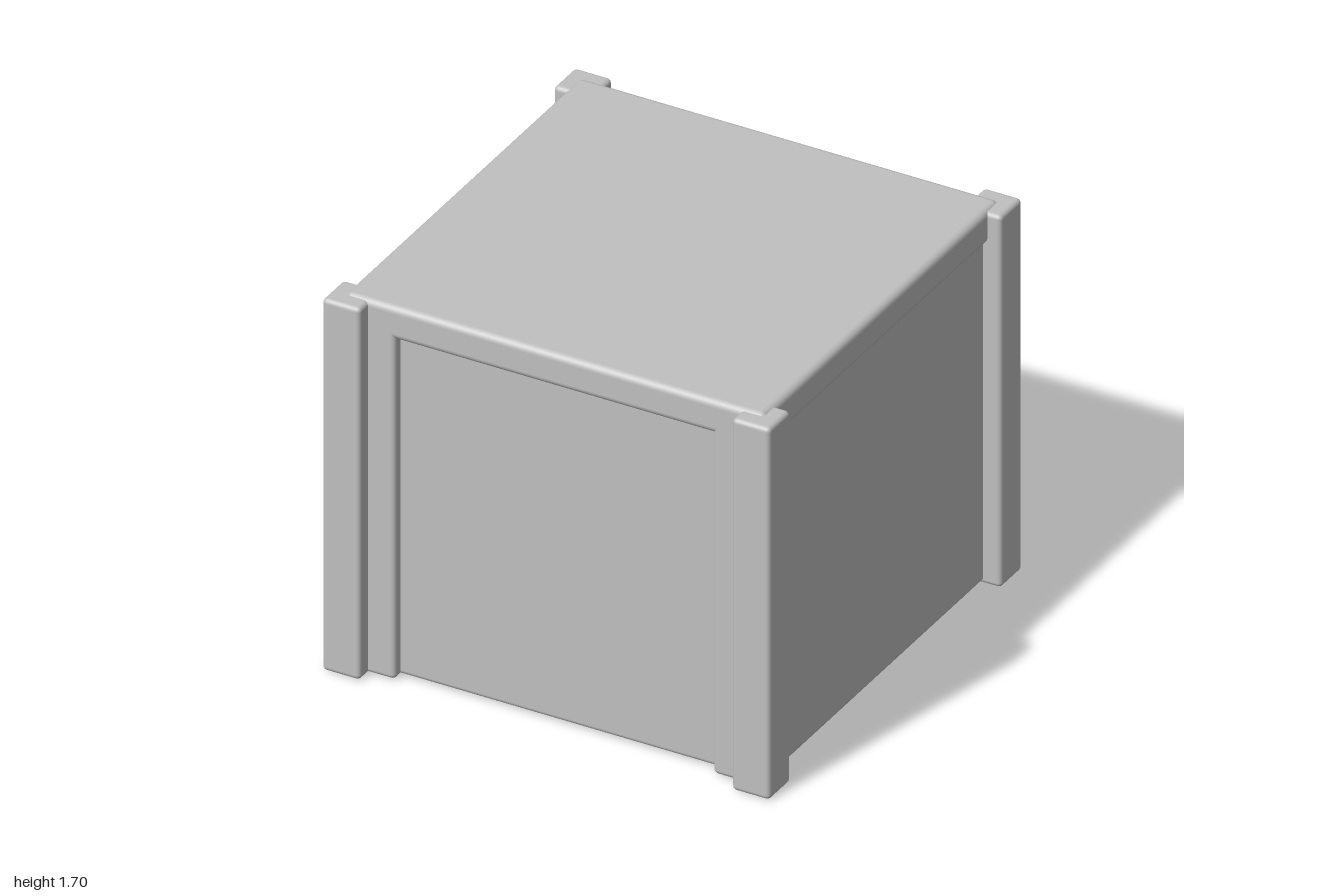
import * as THREE from 'three';
import { RoundedBoxGeometry } from 'three/addons/geometries/RoundedBoxGeometry.js';

export function createModel() {
  const model = new THREE.Group();
  model.name = 'crate';
  const grey = new THREE.MeshStandardMaterial({ color: 0xc0c0c0 });
  grey.name = 'plain grey';

  // Soft-edged box given by its minimum and maximum corners
  const block = (name, min, max, radius) => {
    const size = max.map((v, i) => v - min[i]);
    const mesh = new THREE.Mesh(new RoundedBoxGeometry(...size, 3, radius), grey);
    mesh.position.set(...max.map((v, i) => (v + min[i]) / 2));
    mesh.name = name;
    model.add(mesh);
    return mesh;
  };

  // Recessed body and overhanging lid
  block('body', [-0.92, 0.01, -0.89], [0.92, 1.66, 0.89], 0.02);
  block('lid', [-0.94, 1.55, -0.935], [0.94, 1.7, 0.935], 0.03);

  // Corner posts, each with an inner upright framing the front and back panels
  for (const sx of [-1, 1]) {
    for (const sz of [-1, 1]) {
      const post = block('cornerPost', [-0.085, 0, -0.085], [0.085, 1.69, 0.085], 0.02);
      post.position.x = sx * 0.915;
      post.position.z = sz * 0.915;

      const upright = block('frameUpright', [-0.09, 0.005, -0.05], [0.09, 1.64, 0.05], 0.02);
      upright.position.x = sx * 0.8;
      upright.position.z = sz * 0.885;
    }
  }

  // Latch on the back, hanging over the edge of the lid
  block('latch', [-0.11, 1.35, -0.98], [0.11, 1.61, -0.87], 0.02);

  return model;
}
